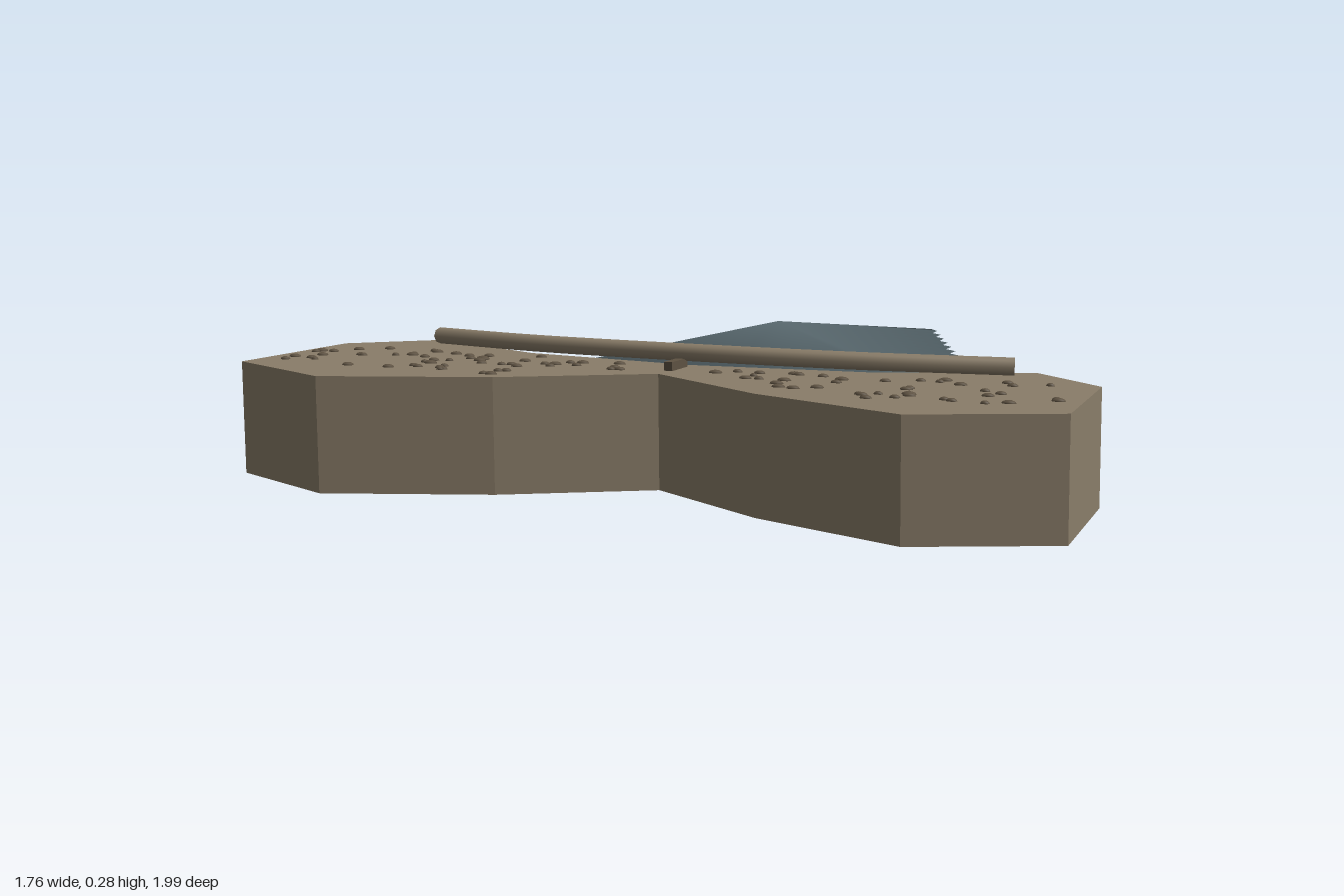
import * as THREE from 'three';

const rootMat = new THREE.MeshStandardMaterial({ name: 'root tan', color: 0x8a7d69 });
const pitMat = new THREE.MeshStandardMaterial({ name: 'pit brown', color: 0x5e5242 });
const bladeMat = new THREE.MeshStandardMaterial({ name: 'blade slate', color: 0x5a6a70 });

const ROOT_TOP = 0.235;
// right half of the root outline as [x, z], from the front notch round to the back
const HALF = [[0, 0.71], [0.28, 0.875], [0.61, 0.995], [0.88, 0.875], [0.855, 0.545], [0.69, 0.41], [0.39, 0.53], [0, 0.57]];

function add(group, name, geometry, material) {
  const mesh = new THREE.Mesh(geometry, material);
  mesh.name = name;
  group.add(mesh);
  return mesh;
}

// Two-lobed slab
function rootGeometry() {
  const mirrored = HALF.slice(1, -1).reverse().map(([x, z]) => [-x, z]);
  const shape = new THREE.Shape([...HALF, ...mirrored].map(([x, z]) => new THREE.Vector2(x, -z)));
  return new THREE.ExtrudeGeometry(shape, { depth: ROOT_TOP, bevelEnabled: false }).rotateX(-Math.PI / 2);
}

// Double-sided pyramid fan with a serrated rim, smooth shaded
function bladeGeometry() {
  const half = [];
  const steps = 36, baseSteps = 12, cornerX = 0.645, cornerZ = 0.41;
  for (let i = 1; i <= steps; i++) {
    const t = i / steps, bump = i % 2 ? 0.011 : -0.009;
    half.push([cornerX * t + 0.91 * bump, -0.995 + (cornerZ + 0.995) * t - 0.42 * bump]);
  }
  for (let i = 1; i < baseSteps; i++) {
    const u = 1 - i / baseSteps;
    half.push([cornerX * u, cornerZ + 0.2 * (1 - u * u)]);
  }
  const rim = [[0, -0.995], ...half, [0, 0.61], ...half.slice().reverse().map(([x, z]) => [-x, z])];
  const n = rim.length;
  const positions = [0, 0.275, 0.1, 0, 0.04, 0.1];
  const index = [];
  rim.forEach(([x, z], i) => {
    positions.push(x, 0.135, z);
    const a = 2 + i, b = 2 + (i + 1) % n;
    index.push(0, b, a, 1, a, b);
  });
  const g = new THREE.BufferGeometry();
  g.setAttribute('position', new THREE.Float32BufferAttribute(positions, 3));
  g.setIndex(index);
  g.computeVertexNormals();
  return g;
}

export function createModel() {
  const group = new THREE.Group();
  group.name = 'tooth';

  add(group, 'root', rootGeometry(), rootMat);
  add(group, 'blade', bladeGeometry(), bladeMat);

  // Raised rib along the gum line, with end caps
  const curve = new THREE.CatmullRomCurve3([[-0.66, 0.253, 0.465], [-0.35, 0.261, 0.56], [0, 0.265, 0.597], [0.35, 0.261, 0.56], [0.66, 0.253, 0.465]]
    .map(p => new THREE.Vector3(...p)));
  add(group, 'rib', new THREE.TubeGeometry(curve, 40, 0.018, 8), rootMat);
  for (const t of [0, 1]) {
    const cap = add(group, 'ribCap', new THREE.CircleGeometry(0.018, 8), rootMat);
    const p = curve.getPointAt(t);
    cap.position.copy(p);
    cap.lookAt(p.clone().addScaledVector(curve.getTangentAt(t), t ? 1 : -1));
  }

  // Small central nub in front of the rib
  add(group, 'nub', new THREE.BoxGeometry(0.018, 0.02, 0.07), pitMat).position.set(0, 0.243, 0.63);

  // Nutrient pits scattered over both lobes
  let seed = 11;
  const rand = () => (seed = (seed * 16807) % 2147483647) / 2147483647;
  const pits = new THREE.Group();
  pits.name = 'pits';
  group.add(pits);
  const pitGeo = new THREE.SphereGeometry(1, 8, 6);
  const scatter = (count, x0, x1, z0, z1) => {
    for (let i = 0; i < count; i++) {
      const x = x0 + (x1 - x0) * rand(), z = z0 + (z1 - z0) * rand();
      const r = 0.007 + 0.006 * rand();
      const pit = add(pits, 'pit', pitGeo, pitMat);
      pit.position.set(x, ROOT_TOP, z);
      pit.scale.set(r * 1.2, 0.006, r * 0.85);
    }
  };
  scatter(16, -0.83, -0.6, 0.56, 0.85);
  scatter(32, -0.6, -0.3, 0.58, 0.84);
  scatter(10, -0.3, -0.08, 0.61, 0.72);
  scatter(9, 0.08, 0.3, 0.61, 0.7);
  scatter(16, 0.26, 0.55, 0.6, 0.85);
  scatter(17, 0.52, 0.83, 0.57, 0.84);
  return group;
}
